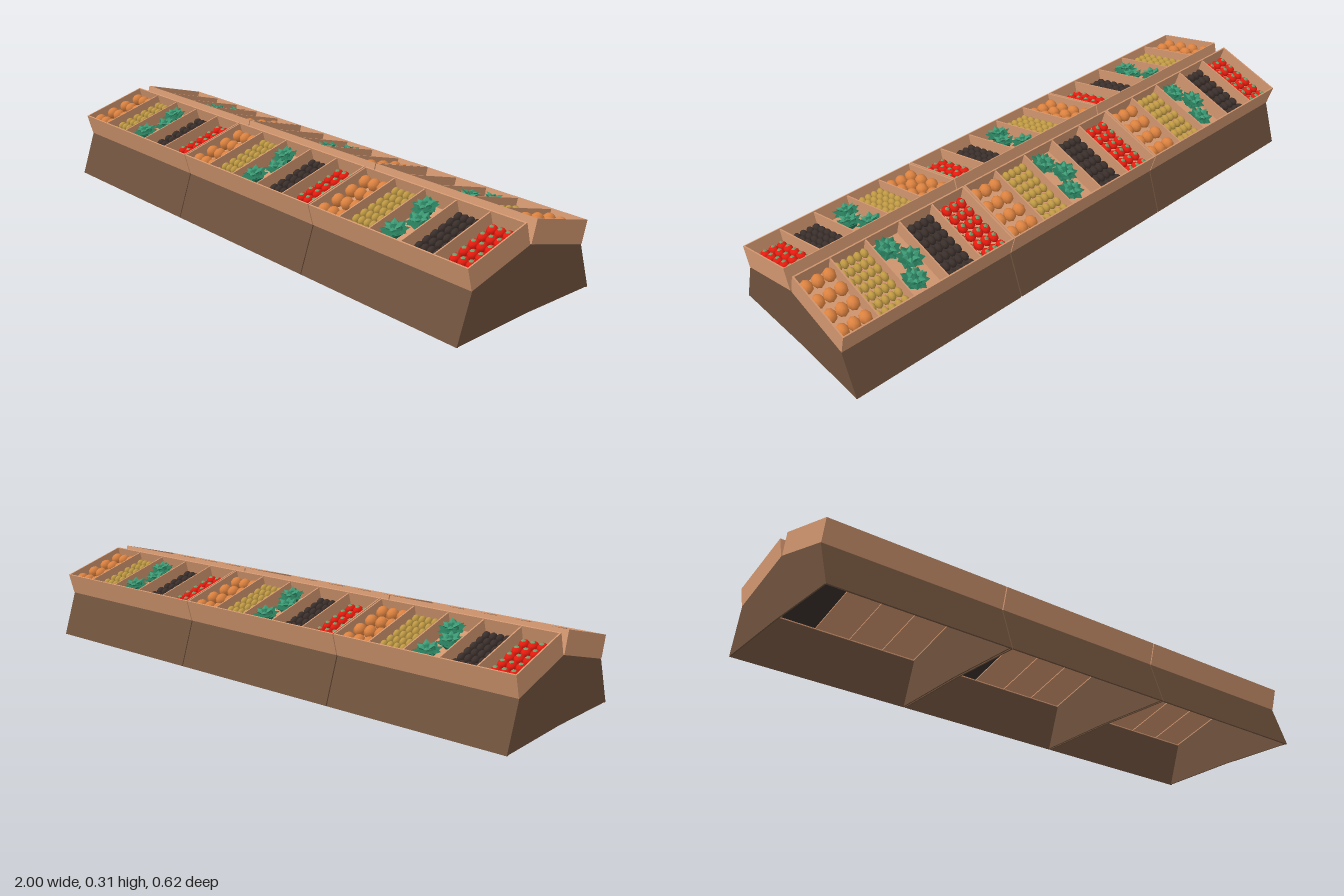
import * as THREE from 'three';
import { mergeGeometries } from 'three/addons/utils/BufferGeometryUtils.js';

const paint = (name, color) => {
  const m = new THREE.MeshStandardMaterial({ color });
  m.name = name;
  return m;
};

export function createModel() {
  const mats = {
    darkWood: paint('dark wood', 0x6f523d),
    lightWood: paint('light wood', 0xd2966f),
    orange: paint('orange', 0xdc8240),
    olive: paint('olive yellow', 0xc09a44),
    black: paint('near black', 0x3a2f2b),
    red: paint('red', 0xf21d10),
    stem: paint('stem green', 0x6fa06c),
    leafDark: paint('dark leaf green', 0x27795a),
    leafLight: paint('light leaf green', 0x3d9a75),
  };
  mats.leafDark.flatShading = mats.leafLight.flatShading = true;

  const W = 0.664;             // length of one stand
  const T = 0.005;             // board thickness
  const D = 0.264, H = 0.078;  // tray depth and height
  const FLOOR = 0.018;
  const BINS = 5, PITCH = (W - T) / BINS;

  const mesh = (name, geo, mat) => {
    const m = new THREE.Mesh(geo, mat);
    m.name = name;
    return m;
  };
  const box = (w, h, d, x, y, z) => new THREE.BoxGeometry(w, h, d).translate(x, y, z);
  const binX = (i) => -W / 2 + T / 2 + PITCH * (i + 0.5);

  // Base half: open underneath, with a sloping front and two ends
  const frontLen = Math.hypot(0.055, 0.159);
  const baseFront = box(W, T, frontLen, 0, -T / 2, frontLen / 2)
    .rotateX(Math.atan2(0.159, 0.055))
    .translate(0, 0.16, 0.255);
  const endShape = new THREE.Shape([[0, 0.008], [0.309, 0.002], [0.255, 0.16], [0, 0.231]]
    .map(([z, y]) => new THREE.Vector2(-z, y)));
  const end = new THREE.ExtrudeGeometry(endShape, { depth: T, bevelEnabled: false })
    .rotateY(Math.PI / 2);
  const baseEnds = mergeGeometries([
    end.clone().translate(-W / 2, 0, 0),
    end.clone().translate(W / 2 - T, 0, 0),
  ]);

  // Tray, built level: walls, bin dividers and one floor board per bin
  const walls = [
    box(W, H, T, 0, H / 2, T / 2),
    box(W, H, T, 0, H / 2, D - T / 2),
  ];
  for (const s of [-1, 1]) walls.push(box(T, H, D - 2 * T, s * (W - T) / 2, H / 2, D / 2));
  const trayWalls = mergeGeometries(walls);
  const dividers = [];
  for (let i = 1; i < BINS; i++) {
    dividers.push(box(T, H - 0.003, D - 2 * T, -W / 2 + T / 2 + PITCH * i, (H - 0.003) / 2, D / 2));
  }
  const trayDividers = mergeGeometries(dividers);
  const binFloor = (i) => box(PITCH - T, FLOOR - 0.004, D - 2 * T, binX(i), (FLOOR + 0.004) / 2, D / 2);
  const woodFloors = mergeGeometries([0, 1, 2, 4].map(binFloor));

  // Rows of one item across a bin
  const rows = (item, bin, cols, count, y) => {
    const list = [];
    const dx = (PITCH - T - 0.002) / cols, dz = (D - 2 * T - 0.004) / count;
    for (let c = 0; c < cols; c++) {
      for (let r = 0; r < count; r++) {
        list.push(item.clone().translate(
          binX(bin) + (c - (cols - 1) / 2) * dx, y, D / 2 + (r - (count - 1) / 2) * dz));
      }
    }
    return mergeGeometries(list);
  };
  const ball = (rx, ry, rz) => new THREE.SphereGeometry(1, 8, 6).scale(rx, ry, rz);

  // Leafy heads: rings of broad pointed leaves around a core
  const ring = (n, radius, tilt, y, turn, w, l) => {
    const list = [];
    for (let i = 0; i < n; i++) {
      list.push(new THREE.OctahedronGeometry(1, 0).scale(w, 0.007, l)
        .translate(0, 0, radius)
        .rotateX(-tilt - (i % 2) * 0.15)
        .rotateY(turn + i / n * Math.PI * 2)
        .translate(0, y, 0));
    }
    return list;
  };
  const outerHead = mergeGeometries([
    ...ring(9, 0.024, 0.2, 0.012, 0, 0.022, 0.026),
    new THREE.OctahedronGeometry(0.031, 1).scale(1, 0.75, 1).translate(0, 0.015, 0),
  ]);
  const innerHead = mergeGeometries(ring(6, 0.017, 0.35, 0.025, 0.4, 0.013, 0.02));
  const heads = (geo) => mergeGeometries(
    [[-0.02, 0.058, 0], [0.02, 0.126, 1.1], [-0.018, 0.2, 2.3]].map(([x, z, turn]) =>
      geo.clone().rotateY(turn).translate(binX(2) + x, FLOOR + 0.014, z)));

  const stemGeo = new THREE.ConeGeometry(0.0085, 0.006, 5);
  const produce = [
    ['oranges', rows(ball(0.0208, 0.022, 0.025), 0, 3, 4, FLOOR + 0.029), mats.orange],
    ['potatoes', rows(ball(0.0122, 0.016, 0.0175), 1, 5, 7, FLOOR + 0.02), mats.olive],
    ['outerLeaves', heads(outerHead), mats.leafDark],
    ['innerLeaves', heads(innerHead), mats.leafLight],
    ['darkFruitFloor', binFloor(3), mats.black],
    ['darkFruit', rows(ball(0.0122, 0.014, 0.0178), 3, 5, 7, FLOOR + 0.012), mats.black],
    ['tomatoes', rows(ball(0.0165, 0.015, 0.0215), 4, 4, 6, FLOOR + 0.011), mats.red],
    ['tomatoStems', rows(stemGeo, 4, 4, 6, FLOOR + 0.0275), mats.stem],
  ];

  const makeHalf = (name) => {
    const half = new THREE.Group();
    half.name = name;
    half.add(
      mesh('baseFront', baseFront, mats.darkWood),
      mesh('baseEnds', baseEnds, mats.darkWood),
    );
    const tray = new THREE.Group();
    tray.name = 'tray';
    tray.position.set(0, 0.2305, 0.003);
    tray.rotation.x = Math.atan2(0.07, 0.252);
    tray.add(
      mesh('binFloors', woodFloors, mats.lightWood),
      mesh('trayWalls', trayWalls, mats.lightWood),
      mesh('trayDividers', trayDividers, mats.lightWood),
    );
    for (const [n, g, m] of produce) tray.add(mesh(n, g, m));
    half.add(tray);
    return half;
  };

  // Three stands in a line, each with two halves back to back
  const model = new THREE.Group();
  model.name = 'produceDisplay';
  for (let i = -1; i <= 1; i++) {
    const stand = new THREE.Group();
    stand.name = 'stand';
    stand.position.x = i * 0.668;
    const back = makeHalf('backHalf');
    back.rotation.y = Math.PI;
    stand.add(makeHalf('frontHalf'), back);
    model.add(stand);
  }
  return model;
}
